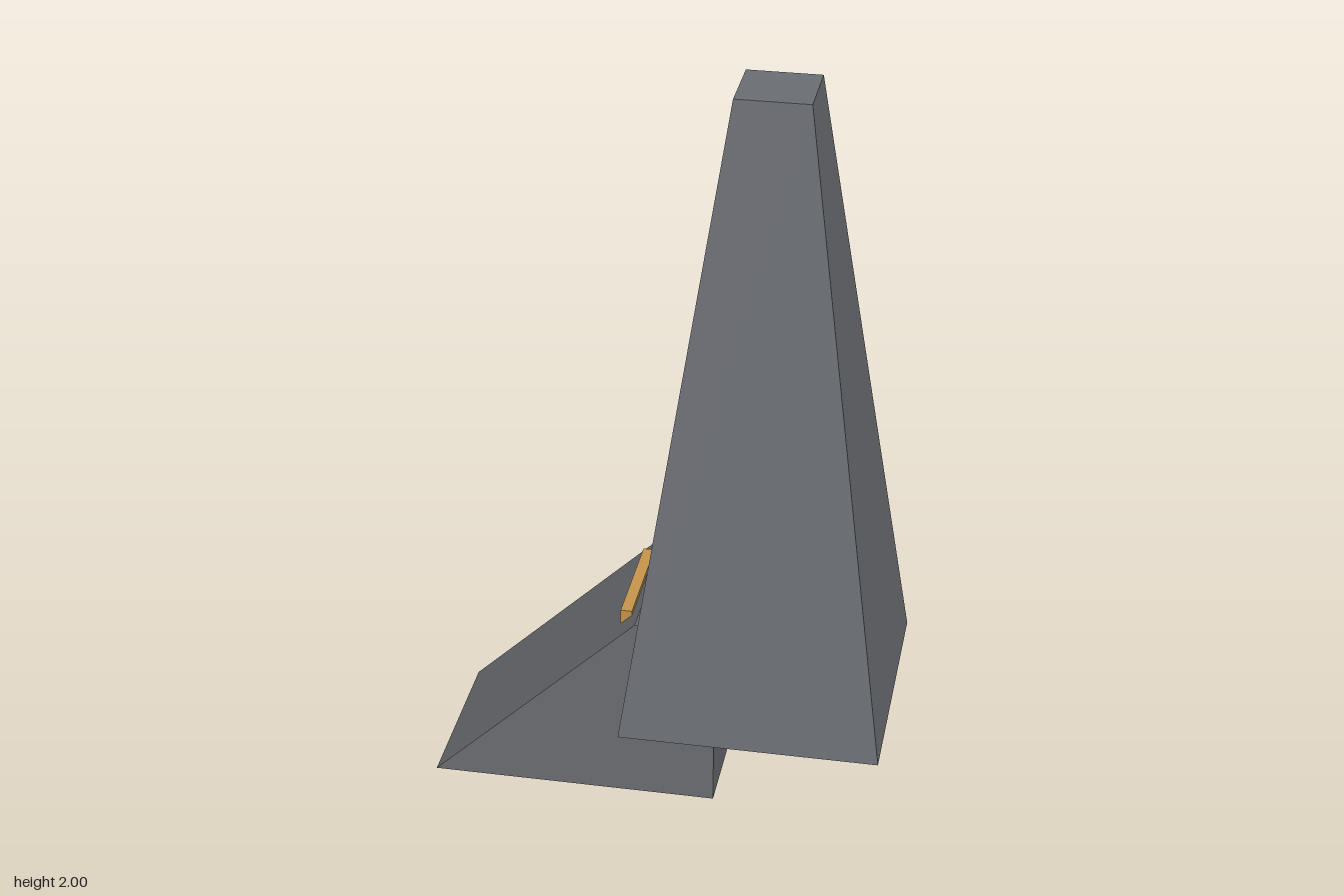
import * as THREE from 'three';

export function createModel() {
  const model = new THREE.Group();
  const stone = new THREE.MeshStandardMaterial({ color: 0x6b6e73 });
  stone.name = 'grey stone';
  const brass = new THREE.MeshStandardMaterial({ color: 0xc8964b });
  brass.name = 'brass';

  const add = (name, geometry, material, x, y, z) => {
    const mesh = new THREE.Mesh(geometry, material);
    mesh.name = name;
    mesh.position.set(x, y, z);
    model.add(mesh);
    return mesh;
  };

  // Tapered square tower: a box whose top is drawn in
  const bottom = 0.25, height = 1.75, baseHalf = 0.35, topHalf = 0.098;
  const towerBox = new THREE.BoxGeometry(baseHalf * 2, height, baseHalf * 2);
  const p = towerBox.attributes.position;
  for (let i = 0; i < p.count; i++) {
    if (p.getY(i) > 0) {
      p.setX(i, Math.sign(p.getX(i)) * topHalf);
      p.setZ(i, Math.sign(p.getZ(i)) * topHalf);
    }
  }
  const towerGeometry = towerBox.toNonIndexed();
  towerGeometry.computeVertexNormals();
  add('tower', towerGeometry, stone, 0.268, bottom + height / 2, 0);

  // Sloped wedge that carries the tower
  const profile = new THREE.Shape([
    new THREE.Vector2(-0.62, 0),
    new THREE.Vector2(0.16, 0),
    new THREE.Vector2(0.16, 0.54),
    new THREE.Vector2(-0.055, 0.54),
  ]);
  const wedge = new THREE.ExtrudeGeometry(profile, { depth: 0.482, bevelEnabled: false });
  add('wedgeBase', wedge, stone, 0, 0, -0.241);

  // Bar set across the top of the slope
  add('slopeBar', new THREE.BoxGeometry(0.031, 0.04, 0.322), brass, -0.094, 0.51, 0);

  return model;
}
